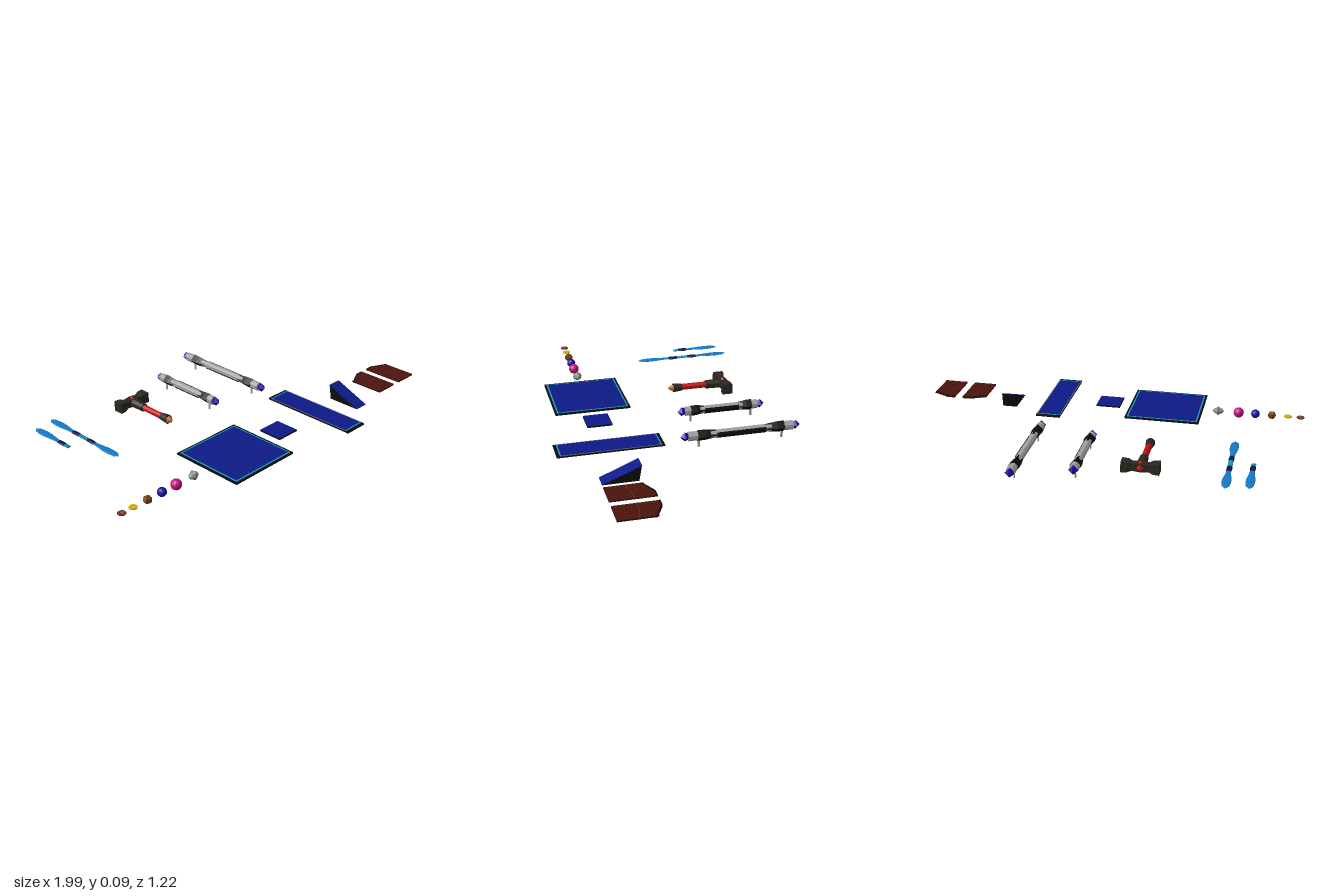
import * as THREE from 'three';

const Y = 0.06; // common height of the laid-out pieces
const BLACK = 0x0c0c0c, BLUE = 0x0e1a88, CYAN = 0x149ab0, GREY = 0xa0a0a0, CAP = 0x2200a0;
const RED = 0xc01010, IRON = 0x2a2620, MAROON = 0x4c140e;

function mat(color) {
  return new THREE.MeshStandardMaterial({ color, flatShading: true });
}

function add(parent, name, geo, color, x = 0, y = 0, z = 0) {
  const m = new THREE.Mesh(geo, mat(color));
  m.name = name;
  m.position.set(x, y, z);
  parent.add(m);
  return m;
}

function group(parent, name, x, z) {
  const g = new THREE.Group();
  g.name = name;
  g.position.set(x, Y, z);
  parent.add(g);
  return g;
}

// Faceted turned part lying along z; profile is [radius, z] with z increasing
function turned(profile, sides = 4, start = 0, arc = Math.PI * 2) {
  const pts = profile.map(([r, z]) => new THREE.Vector2(r, z));
  return new THREE.LatheGeometry(pts, sides, start, arc).rotateX(Math.PI / 2);
}

// Polygon in (x, z) extruded upwards
function flat(points, depth) {
  const s = new THREE.Shape(points.map(([x, z]) => new THREE.Vector2(x, -z)));
  return new THREE.ExtrudeGeometry(s, { depth, bevelEnabled: false }).rotateX(-Math.PI / 2);
}

// Polygon in (z, y) extruded along x
function sideProfile(points, depth) {
  const s = new THREE.Shape(points.map(([z, y]) => new THREE.Vector2(-z, y)));
  return new THREE.ExtrudeGeometry(s, { depth, bevelEnabled: false }).rotateY(Math.PI / 2);
}

// Rod with pointed caps, flared collars, a half shell and two short legs
function rod(parent, name, x, z, half, collarOut, collarIn, legs) {
  const g = group(parent, name, x, z);
  const end = half - 0.038;
  add(g, 'tube', turned([[0, -end], [0.023, -end], [0.023, -collarOut], [0.019, -collarOut],
    [0.019, collarOut], [0.023, collarOut], [0.023, end], [0, end]], 8, Math.PI / 8), GREY);
  add(g, 'gripShell', turned([[0.022, -collarIn], [0.022, collarIn]], 5, -Math.PI * 0.15, Math.PI * 0.85), BLACK)
    .material.side = THREE.DoubleSide;
  for (const s of [-1, 1]) {
    const cap = add(g, 'endCap', turned([[0, -0.002], [0.017, 0], [0.024, 0.016], [0, 0.038]]), CAP, 0, 0, s * end);
    const collar = add(g, 'collar', turned([[0, 0], [0.021, 0], [0.028, (collarOut - collarIn) * 0.6],
      [0.029, collarOut - collarIn], [0, collarOut - collarIn]]), BLACK, 0, 0, s * collarIn);
    if (s < 0) cap.rotation.y = collar.rotation.y = Math.PI;
    add(g, 'leg', new THREE.BoxGeometry(0.005, 0.04, 0.011), GREY, 0, -0.04, s * legs);
  }
}

// Flat blade half-pair: light on top, teal underneath
function blade(parent, z, length, flip) {
  const g = new THREE.Group();
  g.name = 'blade';
  g.position.z = z;
  if (flip) g.rotation.y = Math.PI;
  g.scale.y = 0.2;
  parent.add(g);
  const profile = [[0.011, 0], [0.014, 0.2], [0.021, 0.48], [0.022, 0.68], [0.017, 0.88], [0, 1]]
    .map(([r, t]) => [r, t * length]);
  add(g, 'bladeTop', turned(profile, 6, Math.PI / 2, Math.PI), 0x1478c4);
  add(g, 'bladeUnderside', turned(profile, 6, -Math.PI / 2, Math.PI), 0x0e8080);
}

// Segmented teal grip with a navy knot at the given places
function bladeGrip(parent, z0, z1, knots) {
  const n = Math.round((z1 - z0) / 0.013);
  for (let i = 0; i < n; i++) {
    const m = add(parent, 'gripSegment', new THREE.CylinderGeometry(0.013, 0.011, 0.011, 8).rotateX(Math.PI / 2),
      CYAN, 0, 0, z0 + (i + 0.5) * (z1 - z0) / n);
    m.scale.y = 0.4;
  }
  for (const z of knots) {
    const k = add(parent, 'knot', turned([[0, -0.026], [0.012, -0.024], [0.014, 0], [0.012, 0.024], [0, 0.026]], 8),
      0x0c1450, 0, 0, z);
    k.scale.y = 0.5;
  }
}

export function createModel() {
  const model = new THREE.Group();
  model.name = 'partsSet';

  // Capped rods
  rod(model, 'shortRod', 0.03, -0.285, 0.23, 0.16, 0.09, 0.16);
  rod(model, 'longRod', 0.31, -0.3, 0.305, 0.22, 0.125, 0.212);

  // Blades
  const single = group(model, 'singleBlade', -0.785, 0);
  blade(single, -0.32, 0.19, true);
  bladeGrip(single, -0.28, -0.25, [-0.303]);
  const twin = group(model, 'doubleBlade', -0.678, 0);
  blade(twin, -0.345, 0.185, true);
  blade(twin, -0.195, 0.18, false);
  bladeGrip(twin, -0.31, -0.24, [-0.327, -0.217]);

  // Hammer
  const hammer = group(model, 'hammer', -0.27, 0);
  const q = Math.SQRT2;
  const head = add(hammer, 'hammerHead', turned([[0, -0.092], [0.027 * q, -0.092], [0.025 * q, -0.06],
    [0.018 * q, -0.04], [0.021 * q, 0], [0.018 * q, 0.04], [0.025 * q, 0.06], [0.027 * q, 0.092], [0, 0.092]],
  4, Math.PI / 4), IRON, 0, 0, -0.387);
  head.rotation.y = Math.PI / 2;
  add(hammer, 'topSpike', turned([[0, -0.045], [0.018, -0.02], [0.018, 0]]), RED, 0, 0, -0.387);
  add(hammer, 'socket', turned([[0, -0.37], [0.024, -0.37], [0.022, -0.29], [0, -0.29]], 8, Math.PI / 8), IRON);
  add(hammer, 'handle', turned([[0.016, -0.295], [0.016, -0.155]], 8, Math.PI / 8), RED);
  add(hammer, 'pommel', turned([[0, -0.16], [0.019, -0.16], [0.024, -0.112], [0, -0.112]], 8, Math.PI / 8), IRON);
  add(hammer, 'pommelTip', turned([[0, -0.113], [0.02, -0.113], [0.011, -0.095], [0, -0.083]], 6), 0xb06018);
  for (const s of [-1, 1])
    add(hammer, 'headStud', new THREE.OctahedronGeometry(0.012), RED, 0, s * 0.02, -0.387);

  // Square plate with inlaid border
  const plate = group(model, 'squarePlate', -0.278, 0.353);
  add(plate, 'plateBase', new THREE.BoxGeometry(0.385, 0.008, 0.385), BLACK);
  add(plate, 'plateInlay', new THREE.BoxGeometry(0.366, 0.002, 0.366), CYAN, 0, 0.004, 0);
  add(plate, 'platePanel', new THREE.BoxGeometry(0.35, 0.003, 0.35), BLUE, 0, 0.0045, 0);

  // Small plate
  const small = group(model, 'smallPlate', 0.028, 0.353);
  add(small, 'plateBase', new THREE.BoxGeometry(0.126, 0.008, 0.126), BLACK);
  add(small, 'platePanel', new THREE.BoxGeometry(0.124, 0.002, 0.124), BLUE, 0, 0.004, 0);

  // Long plate with edge rails
  const long = group(model, 'longPlate', 0.308, 0.353);
  add(long, 'plateBase', new THREE.BoxGeometry(0.126, 0.008, 0.517), BLACK);
  add(long, 'platePanel', new THREE.BoxGeometry(0.114, 0.002, 0.475), BLUE, 0, 0.004, 0);
  for (const s of [-1, 1]) {
    add(long, 'sideRail', new THREE.BoxGeometry(0.005, 0.002, 0.486), 0x606878, s * 0.06, 0.004, 0);
    add(long, 'endInlay', new THREE.BoxGeometry(0.114, 0.002, 0.007), CYAN, 0, 0.004, s * 0.241);
  }

  // Ramp wedge with a blue sloped face
  const ramp = group(model, 'ramp', 0.53, 0);
  add(ramp, 'rampBody', sideProfile([[0.446, -0.041], [0.275, -0.041], [0.263, 0.034]], 0.076), BLACK);
  add(ramp, 'rampFace', sideProfile([[0.447, -0.041], [0.444, -0.041], [0.263, 0.033], [0.262, 0.035]], 0.076), BLUE);

  // Pair of planked door leaves with slanted outer corners
  for (const s of [-1, 1]) {
    const door = group(model, s < 0 ? 'rightDoor' : 'leftDoor', 0.848, 0);
    const top = (x) => (x < 0.064 ? 0.245 : 0.245 + (x - 0.064) * 0.5);
    const n = 6, w = 0.125 / n;
    for (let i = 0; i < n; i++) {
      const a = 0.022 + i * w, b = a + w - 0.002;
      let pts = [[a, 0.46], [b, 0.46], [b, top(b)], [a, top(a)]];
      if (s < 0) pts = pts.map(([x, z]) => [-x, z]).reverse();
      add(door, 'plank', flat(pts, 0.008), MAROON, 0, -0.004, 0);
      const band = (x) => 0.345 + (x - 0.022) * (x - 0.022) * 1.3;
      let strip = [[a, band(a) + 0.006], [b, band(b) + 0.006], [b, band(b)], [a, band(a)]];
      if (s < 0) strip = strip.map(([x, z]) => [-x, z]).reverse();
      add(door, 'doorBand', flat(strip, 0.0095), 0x64200f, 0, -0.00475, 0);
      let edge = [[a, top(a) + 0.008], [b, top(b) + 0.008], [b, top(b)], [a, top(a)]];
      if (s < 0) edge = edge.map(([x, z]) => [-x, z]).reverse();
      add(door, 'doorTopEdge', flat(edge, 0.0095), 0x180806, 0, -0.00475, 0);
    }
    add(door, 'backing', new THREE.BoxGeometry(0.123, 0.004, 0.18), 0x260a07, s * 0.084, 0, 0.369);
  }

  // Row of tokens and gems
  const z = 0.353;
  const coin = (r) => new THREE.CylinderGeometry(r, r, 0.005, 12);
  const brown = group(model, 'brownToken', -0.978, z);
  add(brown, 'disc', coin(0.02), 0x6a2c1c);
  for (const a of [0, Math.PI / 2])
    add(brown, 'crossBar', new THREE.BoxGeometry(0.034, 0.007, 0.003), 0x9c7058).rotation.y = a;
  add(model, 'yellowToken', coin(0.02), 0xc8b010, -0.913, Y, z);
  add(model, 'brownGem', new THREE.DodecahedronGeometry(0.022), 0x6c3c10, -0.83, Y, z);
  add(model, 'blueGem', new THREE.IcosahedronGeometry(0.023, 1), 0x1810a8, -0.745, Y, z);
  add(model, 'magentaGem', new THREE.IcosahedronGeometry(0.027, 2), 0xc01080, -0.658, Y, z);
  const stone = group(model, 'greyGem', -0.551, z);
  add(stone, 'stone', turned([[0, -0.03], [0.013, -0.02], [0.022, 0], [0.013, 0.02], [0, 0.03]], 8), 0x86948e)
    .rotation.y = Math.PI / 2;
  add(stone, 'stoneHoop', new THREE.TorusGeometry(0.021, 0.003, 4, 8).rotateY(Math.PI / 2), 0x5c6864);

  return model;
}
